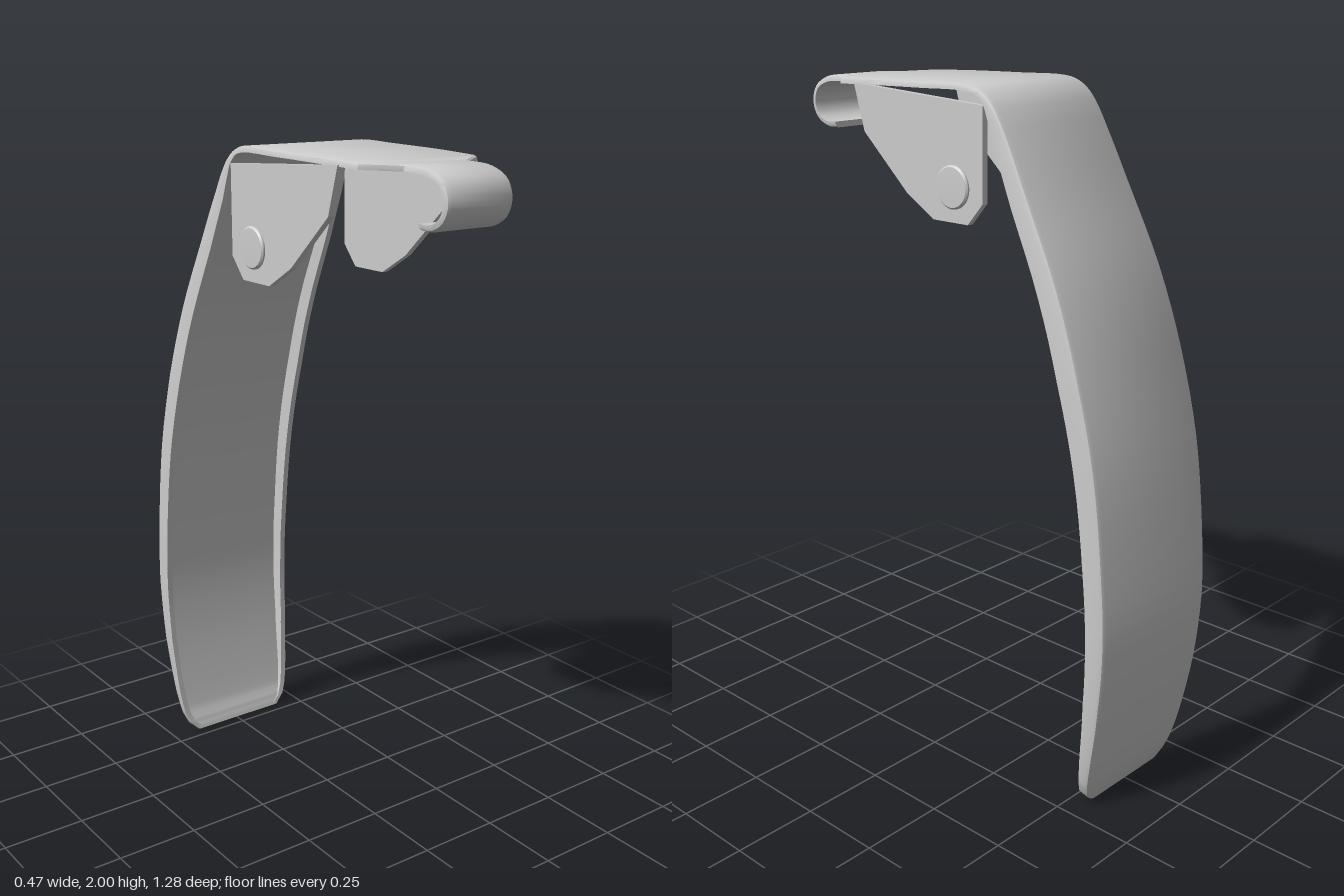
import * as THREE from 'three';
import { toCreasedNormals } from 'three/addons/utils/BufferGeometryUtils.js';

const material = new THREE.MeshStandardMaterial({ color: 0xcccccc, side: THREE.DoubleSide });
const T = 0.018; // sheet thickness

// Stations along the outer face: z, y, half width, flange depth, floor thickness
const stations = [
  // hook
  [0.532, 1.828, 0.11, T, T],
  [0.575, 1.828, 0.11, T, T],
  [0.621, 1.853, 0.11, T, T],
  [0.640, 1.900, 0.11, T, T],
  [0.622, 1.950, 0.11, T, T],
  [0.570, 1.978, 0.11, T, T],
  // top plate
  [0.470, 1.985, 0.11, T, T],
  [0.400, 1.989, 0.20, T, T],
  [0.250, 1.994, 0.21, T, T],
  [0.050, 1.998, 0.212, T, T],
  [-0.100, 2.000, 0.212, T, T],
  // bend
  [-0.155, 1.990, 0.21, 0.02, T],
  [-0.195, 1.963, 0.21, 0.028, T],
  [-0.225, 1.925, 0.211, 0.04, T],
  // lever
  [-0.260, 1.865, 0.212, 0.052, T],
  [-0.335, 1.720, 0.218, 0.062, T],
  [-0.445, 1.500, 0.226, 0.068, T],
  [-0.525, 1.280, 0.233, 0.070, T],
  [-0.590, 1.030, 0.236, 0.068, T],
  [-0.625, 0.760, 0.237, 0.064, T],
  [-0.637, 0.550, 0.236, 0.062, T],
  [-0.622, 0.340, 0.231, 0.054, T],
  [-0.590, 0.150, 0.218, 0.040, T],
  [-0.572, 0.070, 0.206, 0.033, T],
  [-0.560, 0.030, 0.190, 0.030, 0.024],
  [-0.550, 0.000, 0.160, 0.026, 0.026],
];

// Channel section: x across, v measured inward from the outer face
function section(w, d, f) {
  const r = 0.014;
  const half = [
    [w - r, 0], [w - r * 0.3, r * 0.3], [w, r], [w, d], [w - T, d], [w - T, f],
  ];
  return [...half, ...half.map(([x, v]) => [-x, v]).reverse()];
}

// Sweep the changing section along the stations
function sweepStrip() {
  const curve = new THREE.CatmullRomCurve3(stations.map(([z, y]) => new THREE.Vector3(0, y, z)));
  const steps = 4, last = stations.length - 1, count = last * steps;
  const positions = [], index = [];
  let n = 0;
  for (let i = 0; i <= count; i++) {
    const k = Math.min(Math.floor(i / steps), last - 1), f = i / steps - k;
    const [w, d, floor] = [2, 3, 4].map((c) => THREE.MathUtils.lerp(stations[k][c], stations[k + 1][c], f));
    const p = curve.getPoint(i / count), t = curve.getTangent(i / count);
    const ring = section(w, d, floor);
    n = ring.length;
    for (const [x, v] of ring) positions.push(x, p.y + t.z * v, p.z - t.y * v);
  }
  for (let i = 0; i < count; i++) {
    for (let j = 0; j < n; j++) {
      const a = i * n + j, b = i * n + (j + 1) % n;
      index.push(a, b, a + n, b, b + n, a + n);
    }
  }
  // end caps
  const e = count * n;
  for (let j = 1; j < n - 1; j++) {
    index.push(0, j + 1, j);
    index.push(e, e + j, e + j + 1);
  }
  const geo = new THREE.BufferGeometry();
  geo.setAttribute('position', new THREE.Float32BufferAttribute(positions, 3));
  geo.setIndex(index);
  return toCreasedNormals(geo, 0.6);
}

// Side plate outline as z, y
const plateOutline = [
  [0.33, 1.978], [0.29, 1.845], [0.12, 1.69], [0.015, 1.628],
  [-0.115, 1.628], [-0.17, 1.69], [-0.17, 1.948],
];

export function createModel() {
  const group = new THREE.Group();
  const add = (name, geo) => {
    const mesh = new THREE.Mesh(geo, material);
    mesh.name = name;
    group.add(mesh);
    return mesh;
  };

  add('leverStrip', sweepStrip());

  // Side plates, extruded across x
  const shape = new THREE.Shape(plateOutline.map(([z, y]) => new THREE.Vector2(-z, y)));
  const plate = new THREE.ExtrudeGeometry(shape, { depth: 0.02, bevelEnabled: false });
  plate.rotateY(Math.PI / 2);

  // Domed pivot pin head, turned about its axis
  const pin = new THREE.LatheGeometry(
    [[0, 0], [0.06, 0], [0.06, 0.009], [0.055, 0.014], [0, 0.016]].map(([r, h]) => new THREE.Vector2(r, h)), 32);
  const pinGeo = toCreasedNormals(pin, 0.5);

  for (const side of [1, -1]) {
    const name = side > 0 ? 'left' : 'right';
    add(name + 'SidePlate', plate).position.x = side > 0 ? 0.19 : -0.21;
    const head = add(name + 'PivotPin', pinGeo);
    head.rotation.z = -side * Math.PI / 2;
    head.position.set(side * 0.206, 1.725, -0.062);
  }
  return group;
}
